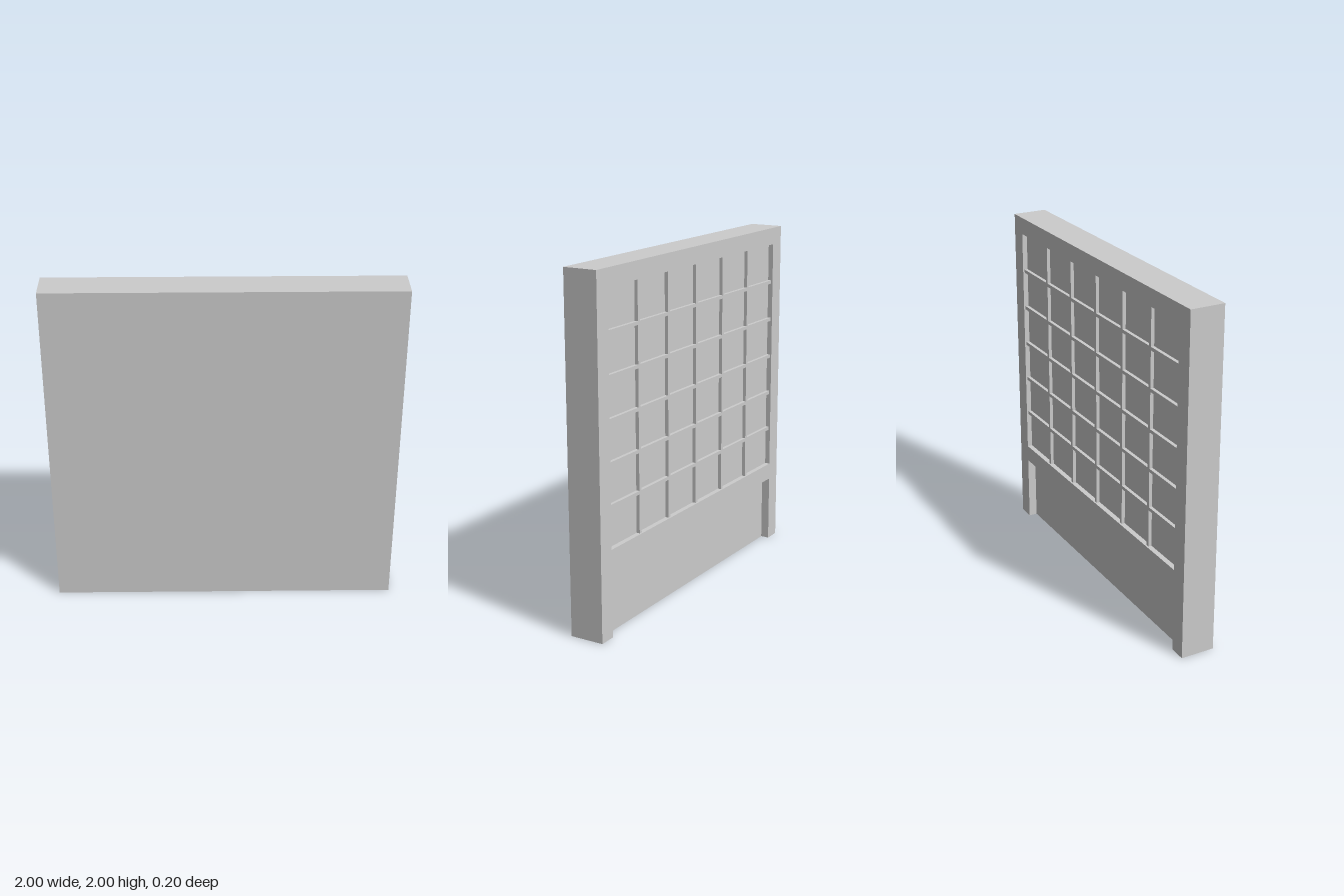
import * as THREE from 'three';

const material = new THREE.MeshStandardMaterial({ color: 0xcccccc, flatShading: true });

function add(parent, name, geometry, x, y, z) {
  const mesh = new THREE.Mesh(geometry, material);
  mesh.name = name;
  mesh.position.set(x, y, z);
  parent.add(mesh);
  return mesh;
}

export function createModel() {
  const model = new THREE.Group();
  model.name = 'wallPanel';

  // Window opening on the back
  const left = -0.9, bottom = 0.5, width = 1.8, height = 1.4;
  const midY = bottom + height / 2;

  // Plain slab forming the front
  add(model, 'slab', new THREE.BoxGeometry(2, 2, 0.15), 0, 1, 0.025);

  // Raised back frame: notched at the foot, with an opening for the grid
  const outline = new THREE.Shape([
    [-1, 0], [-0.9, 0], [-0.9, 0.4], [0.9, 0.4],
    [0.9, 0], [1, 0], [1, 2], [-1, 2],
  ].map(([x, y]) => new THREE.Vector2(x, y)));
  outline.holes.push(new THREE.Path([
    [left, bottom], [left, bottom + height],
    [left + width, bottom + height], [left + width, bottom],
  ].map(([x, y]) => new THREE.Vector2(x, y))));
  const frame = new THREE.ExtrudeGeometry(outline, { depth: 0.05, bevelEnabled: false });
  add(model, 'backFrame', frame, 0, 0, -0.1);

  // Shallow panel behind the grid
  add(model, 'gridPanel', new THREE.BoxGeometry(width, height, 0.02), 0, midY, -0.06);

  // Six by six grid of thin bars
  const grid = new THREE.Group();
  grid.name = 'gridBars';
  const cells = 6, bar = 0.02, depth = 0.02, z = -0.08;
  for (let i = 1; i < cells; i++) {
    const x = left + (width * i) / cells;
    const y = bottom + (height * i) / cells;
    add(grid, 'verticalBar', new THREE.BoxGeometry(bar, height, depth), x, midY, z);
    add(grid, 'horizontalBar', new THREE.BoxGeometry(width, bar, depth), 0, y, z);
  }
  model.add(grid);

  return model;
}
